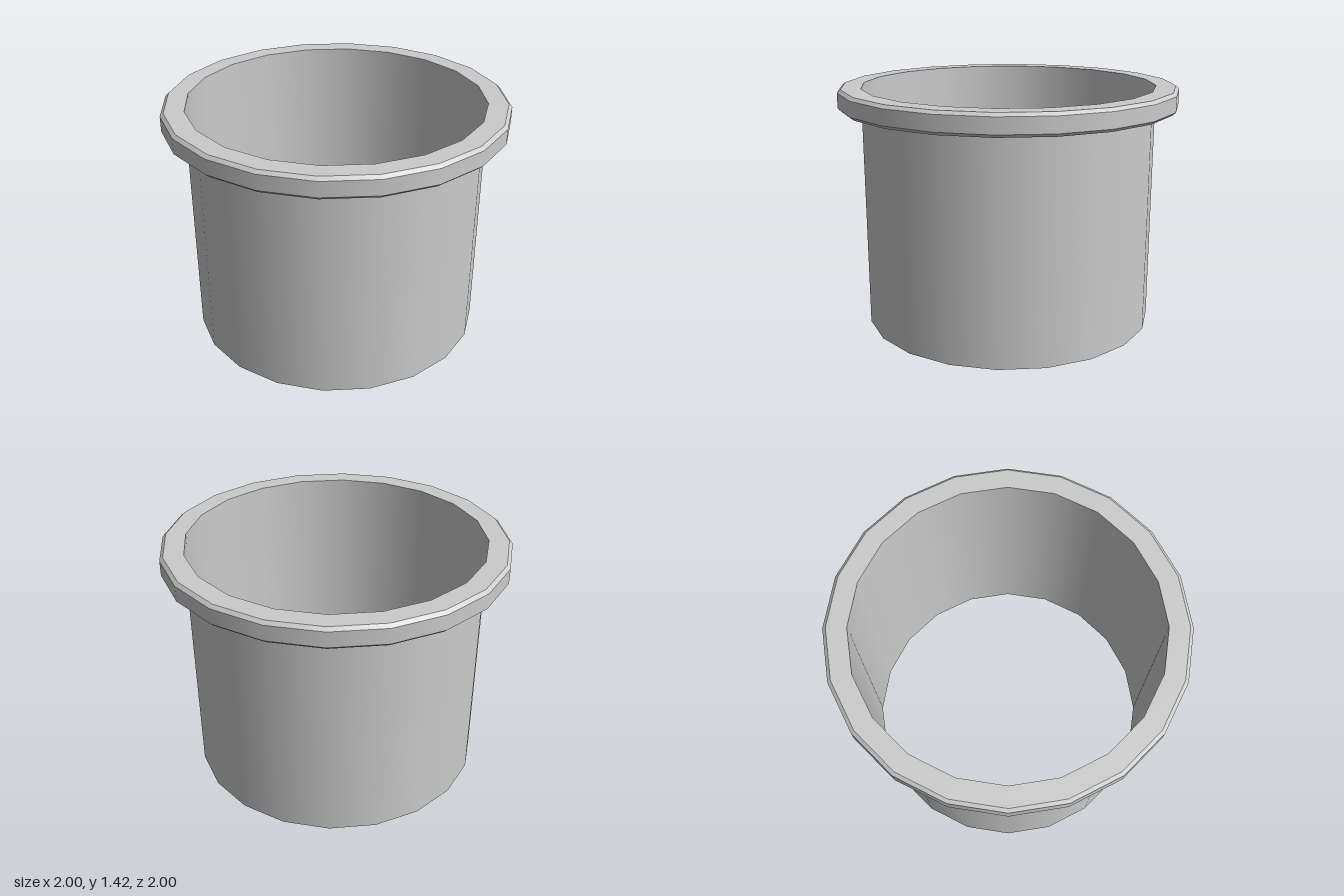
import * as THREE from 'three';
import { mergeGeometries } from 'three/addons/utils/BufferGeometryUtils.js';

const SIDES = 20;
const WALL = 0.865, RIM = 1, BEVEL = 0.98;
const RIM_BOTTOM = 1.3, TOP = 1.425, CHAMFER = 0.018;

// One lathe band per profile segment: smooth around, sharp between bands
function bands(profile) {
  const parts = [];
  for (let i = 0; i < profile.length - 1; i++) {
    const pts = [profile[i], profile[i + 1]].map(([r, y]) => new THREE.Vector2(r, y));
    parts.push(new THREE.LatheGeometry(pts, SIDES));
  }
  return mergeGeometries(parts);
}

export function createModel() {
  const group = new THREE.Group();
  group.name = 'flangedSleeve';
  const material = new THREE.MeshStandardMaterial({ color: 0xcccccc, side: THREE.DoubleSide });

  // Thin open tube, seen from both sides
  const sleeve = new THREE.Mesh(bands([[WALL, 0], [WALL, RIM_BOTTOM], [WALL, TOP]]), material);
  sleeve.name = 'sleeveWall';

  // Chamfered collar around the upper end
  const rim = new THREE.Mesh(bands([
    [WALL, RIM_BOTTOM],
    [BEVEL, RIM_BOTTOM],
    [RIM, RIM_BOTTOM + CHAMFER],
    [RIM, TOP - CHAMFER],
    [BEVEL, TOP],
    [WALL, TOP],
  ]), material);
  rim.name = 'rim';

  group.add(sleeve, rim);
  return group;
}
